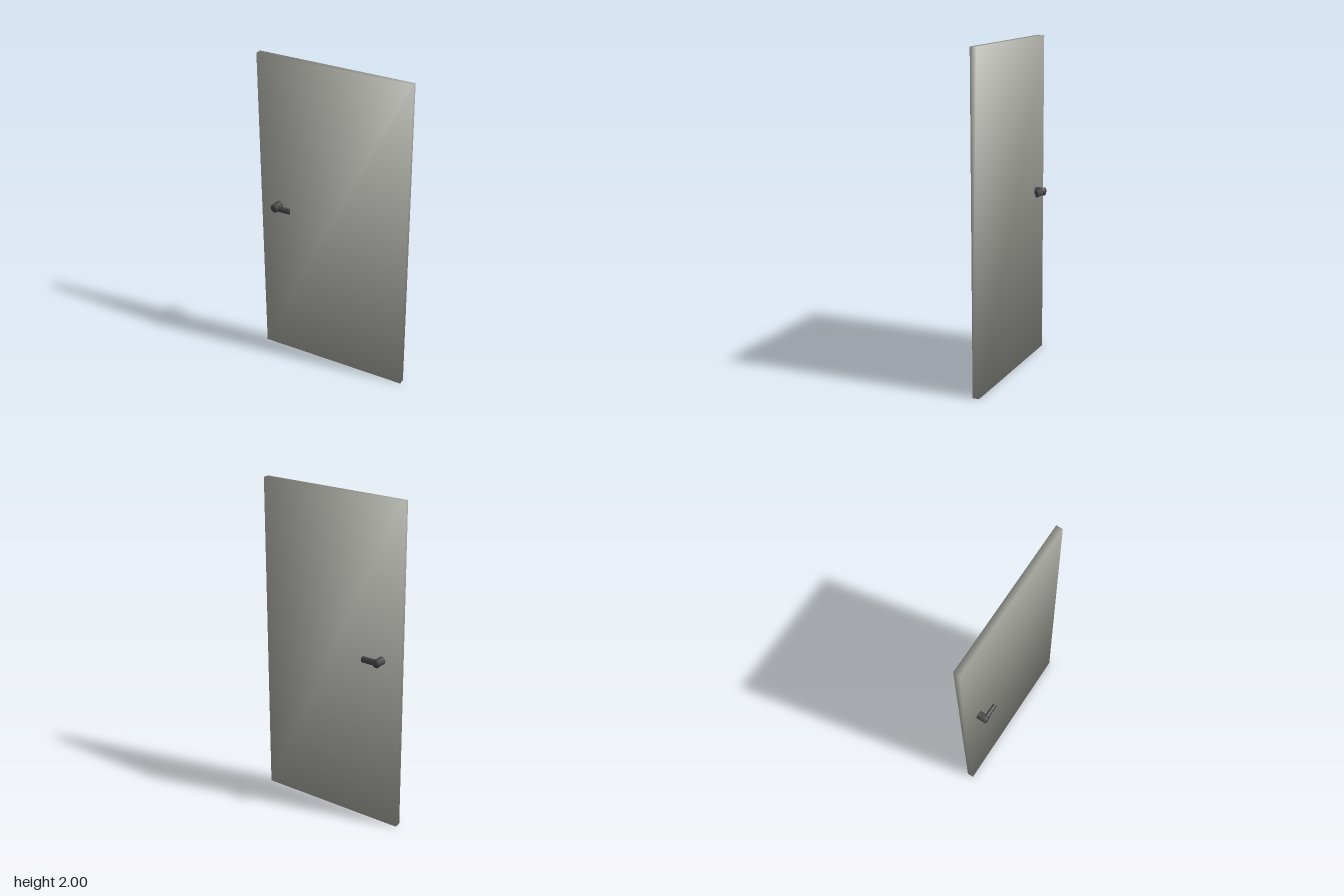
import * as THREE from 'three';

const panelGrey = new THREE.MeshStandardMaterial({ color: 0xa3a39c });
panelGrey.name = 'panelGrey';
const handleGrey = new THREE.MeshStandardMaterial({ color: 0x484848 });
handleGrey.name = 'handleGrey';

function addMesh(parent, geometry, material, name) {
  const mesh = new THREE.Mesh(geometry, material);
  mesh.name = name;
  parent.add(mesh);
  return mesh;
}

// Plain slab whose normals are shared at each corner, for soft shading
function panelGeometry(w, h, d) {
  const geo = new THREE.BoxGeometry(w, h, d);
  const pos = geo.attributes.position;
  const n = new THREE.Vector3();
  for (let i = 0; i < pos.count; i++) {
    n.set(Math.sign(pos.getX(i)), Math.sign(pos.getY(i)), Math.sign(pos.getZ(i))).normalize();
    geo.attributes.normal.setXYZ(i, n.x, n.y, n.z);
  }
  return geo;
}

// Oval bar along x, its free end cut on a slant so the outer side is longer
function leverGeometry(length, height, depth, slant) {
  const geo = new THREE.CylinderGeometry(0.5, 0.5, length, 20);
  geo.rotateZ(-Math.PI / 2);
  geo.scale(1, height, depth);
  const pos = geo.attributes.position;
  for (let i = 0; i < pos.count; i++) {
    if (pos.getX(i) > 0) pos.setX(i, pos.getX(i) + slant * (pos.getZ(i) / depth - 0.5));
  }
  geo.computeVertexNormals();
  return geo;
}

export function createModel() {
  const door = new THREE.Group();
  door.name = 'door';

  const panel = addMesh(door, panelGeometry(0.96, 2, 0.04), panelGrey, 'panel');
  panel.position.y = 1;

  const handle = new THREE.Group();
  handle.name = 'handle';
  handle.position.set(-0.358, 1.054, 0);
  door.add(handle);

  // Spindle through the panel, flaring where it meets each lever
  const profile = [
    [0, -0.08], [0.026, -0.08], [0.024, -0.055],
    [0.024, 0.055], [0.026, 0.08], [0, 0.08],
  ].map(([r, z]) => new THREE.Vector2(r, z));
  const spindle = new THREE.LatheGeometry(profile, 20).rotateX(Math.PI / 2);
  addMesh(handle, spindle, handleGrey, 'spindle');

  // One lever on each face
  for (const side of [1, -1]) {
    const lever = addMesh(handle, leverGeometry(0.103, 0.04, 0.025, 0.008), handleGrey,
      side > 0 ? 'frontLever' : 'backLever');
    lever.position.set(0.0515, 0, side * 0.0675);
    if (side < 0) {
      // Mirror the slanted end to the other face
      lever.geometry.rotateX(Math.PI);
    }
  }

  return door;
}
